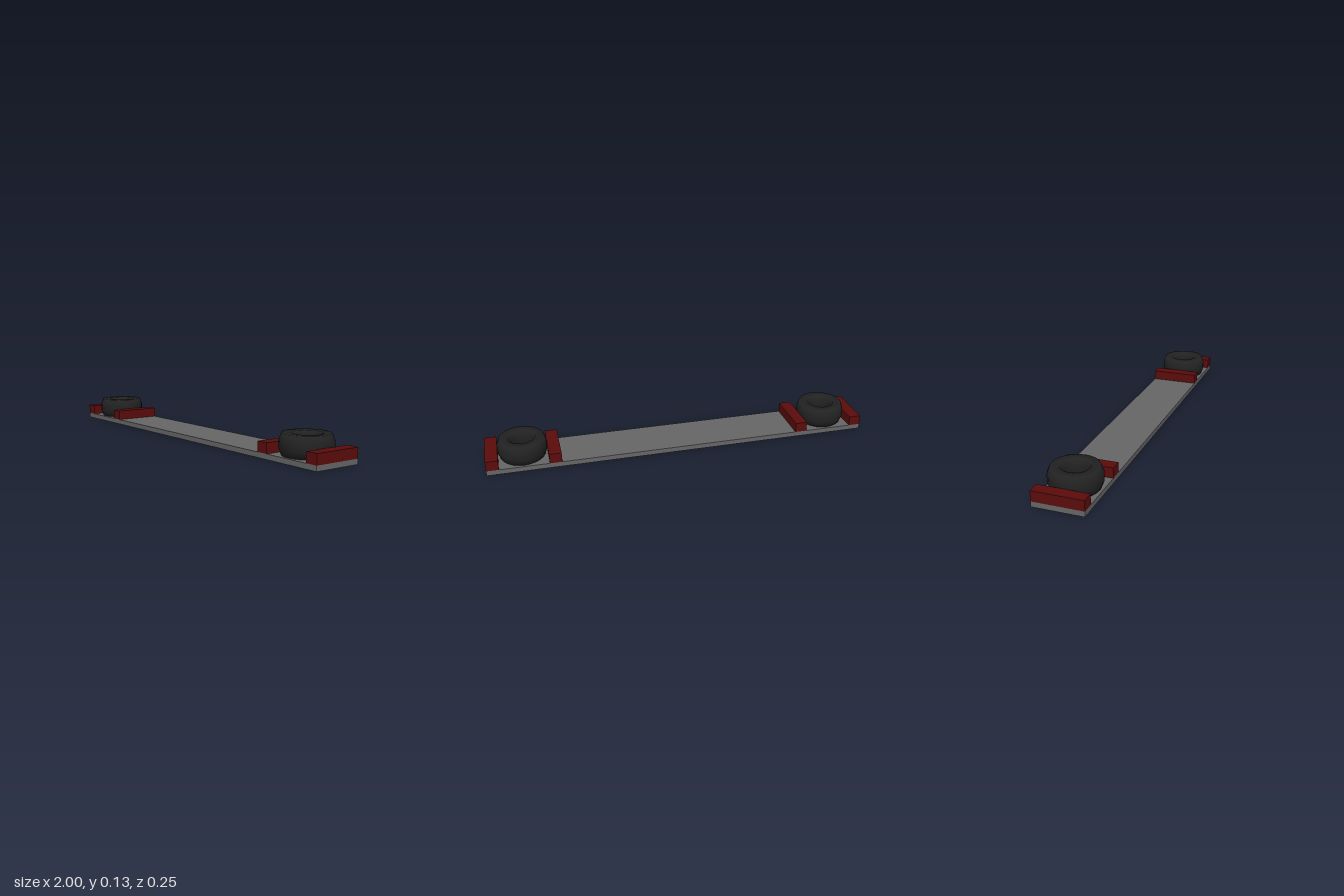
import * as THREE from 'three';

export function createModel() {
  const model = new THREE.Group();
  const grey = new THREE.MeshStandardMaterial({ color: 0x666666 });
  const red = new THREE.MeshStandardMaterial({ color: 0x5c0c0c });
  const black = new THREE.MeshStandardMaterial({ color: 0x222222 });

  function add(name, geometry, material, x, y) {
    const mesh = new THREE.Mesh(geometry, material);
    mesh.name = name;
    mesh.position.set(x, y, 0);
    model.add(mesh);
  }

  // Long flat plank
  const plankH = 0.026;
  add('plank', new THREE.BoxGeometry(2, plankH, 0.25), grey, 0, plankH / 2);

  // Tyre cross-section: closed ring with bevelled shoulders
  const half = 0.051;
  const profile = [
    [0.07, -half], [0.113, -half], [0.125, -0.019], [0.125, 0.019],
    [0.113, half], [0.07, half], [0.061, 0.019], [0.061, -0.019], [0.07, -half],
  ].map(([r, y]) => new THREE.Vector2(r, y));
  const tyre = new THREE.LatheGeometry(profile, 24);
  const block = new THREE.BoxGeometry(0.062, 0.051, 0.25);

  // Each end: a tyre lying flat between two blocks
  for (const [side, s] of [['left', 1], ['right', -1]]) {
    add(side + 'Tyre', tyre, black, s * 0.8125, plankH + half);
    add(side + 'OuterBlock', block, red, s * 0.969, plankH + 0.0255);
    add(side + 'InnerBlock', block, red, s * 0.657, plankH + 0.0255);
  }
  return model;
}
